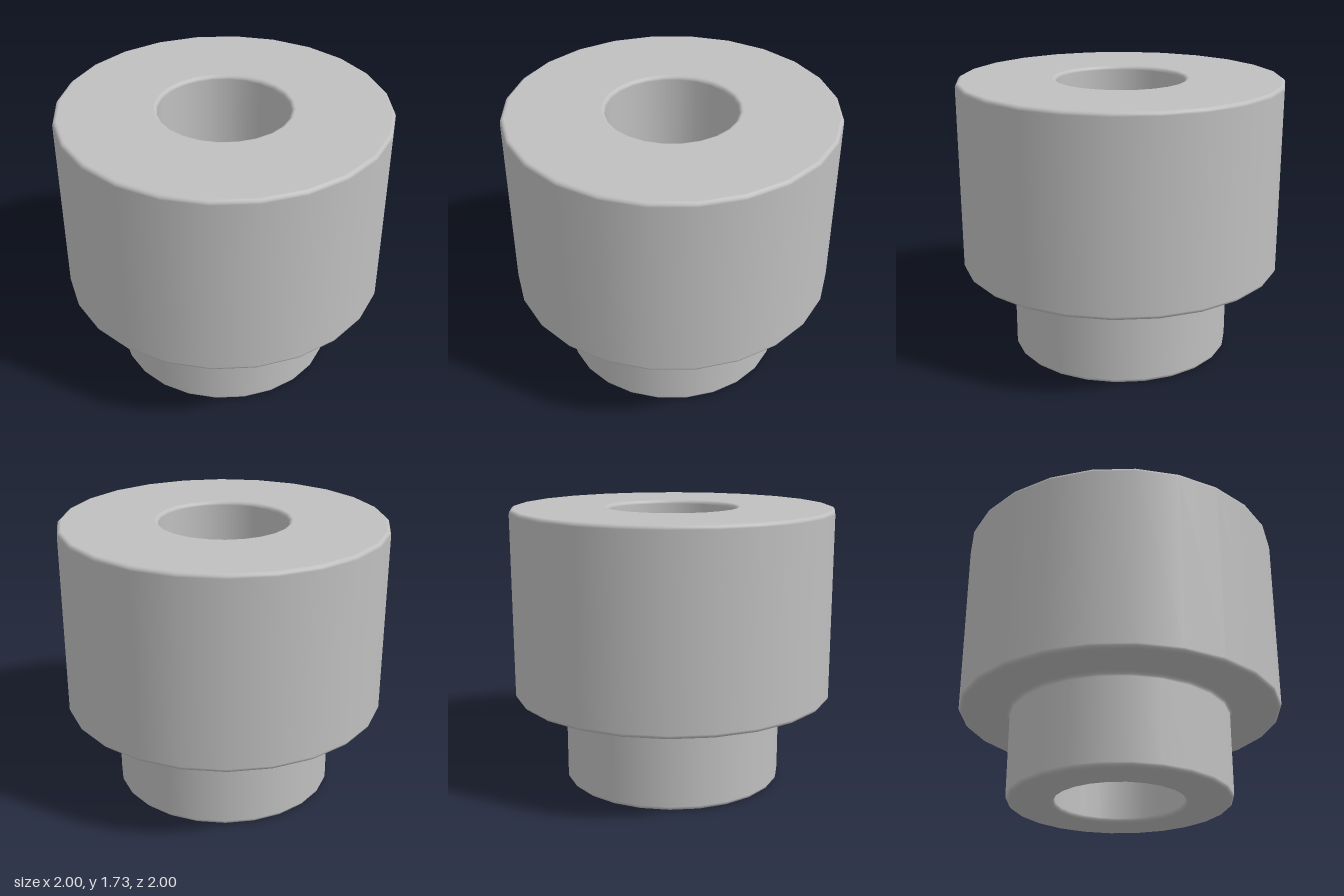
import * as THREE from 'three';

const SIDES = 24;
const BEVEL = 0.025;

// Rounded corner of the profile: rows of [radius, y, normal radius, normal y].
// sign 1 makes a convex edge, -1 a concave fillet.
function corner(r, y, fromDeg, toDeg, sign = 1, steps = 3) {
  const rows = [];
  for (let i = 0; i <= steps; i++) {
    const a = THREE.MathUtils.degToRad(fromDeg + ((toDeg - fromDeg) * i) / steps);
    const c = Math.cos(a), s = Math.sin(a);
    rows.push([r + BEVEL * c, y + BEVEL * s, sign * c, sign * s]);
  }
  return rows;
}

// Lathe with exact profile normals, so flat faces stay flat and bevels stay smooth.
function turned(rows) {
  const geo = new THREE.LatheGeometry(rows.map(([r, y]) => new THREE.Vector2(r, y)), SIDES);
  const normal = geo.attributes.normal;
  for (let i = 0; i <= SIDES; i++) {
    const phi = (i / SIDES) * Math.PI * 2;
    rows.forEach(([, , nr, ny], j) =>
      normal.setXYZ(i * rows.length + j, nr * Math.sin(phi), ny, nr * Math.cos(phi)));
  }
  return geo;
}

export function createModel() {
  const group = new THREE.Group();
  group.name = 'steppedBushing';
  const grey = new THREE.MeshStandardMaterial({ color: 0xbfbfbf });
  grey.name = 'grey';

  const bore = 0.395, neck = 0.685, head = 1, step = 0.555, top = 1.725, b = BEVEL;
  const add = (name, rows) => {
    const mesh = new THREE.Mesh(turned(rows), grey);
    mesh.name = name;
    group.add(mesh);
  };

  // Narrow neck: bottom ring, bottom edge, wall and fillet under the head
  add('neck', [
    [bore + b, 0, 0, -1],
    ...corner(neck - b, b, -90, 0),
    ...corner(neck + b, step - b, 180, 90, -1),
  ]);

  // Wide head: underside, wall and top ring
  add('head', [
    [neck + b, step, 0, -1],
    ...corner(head - b, step + b, -90, 0),
    ...corner(head - b, top - b, 0, 90),
    [bore + b, top, 0, 1],
  ]);

  // Through hole with both rounded rims
  add('bore', [
    ...corner(bore + b, top - b, 90, 180),
    ...corner(bore + b, b, 180, 270),
  ]);

  return group;
}
